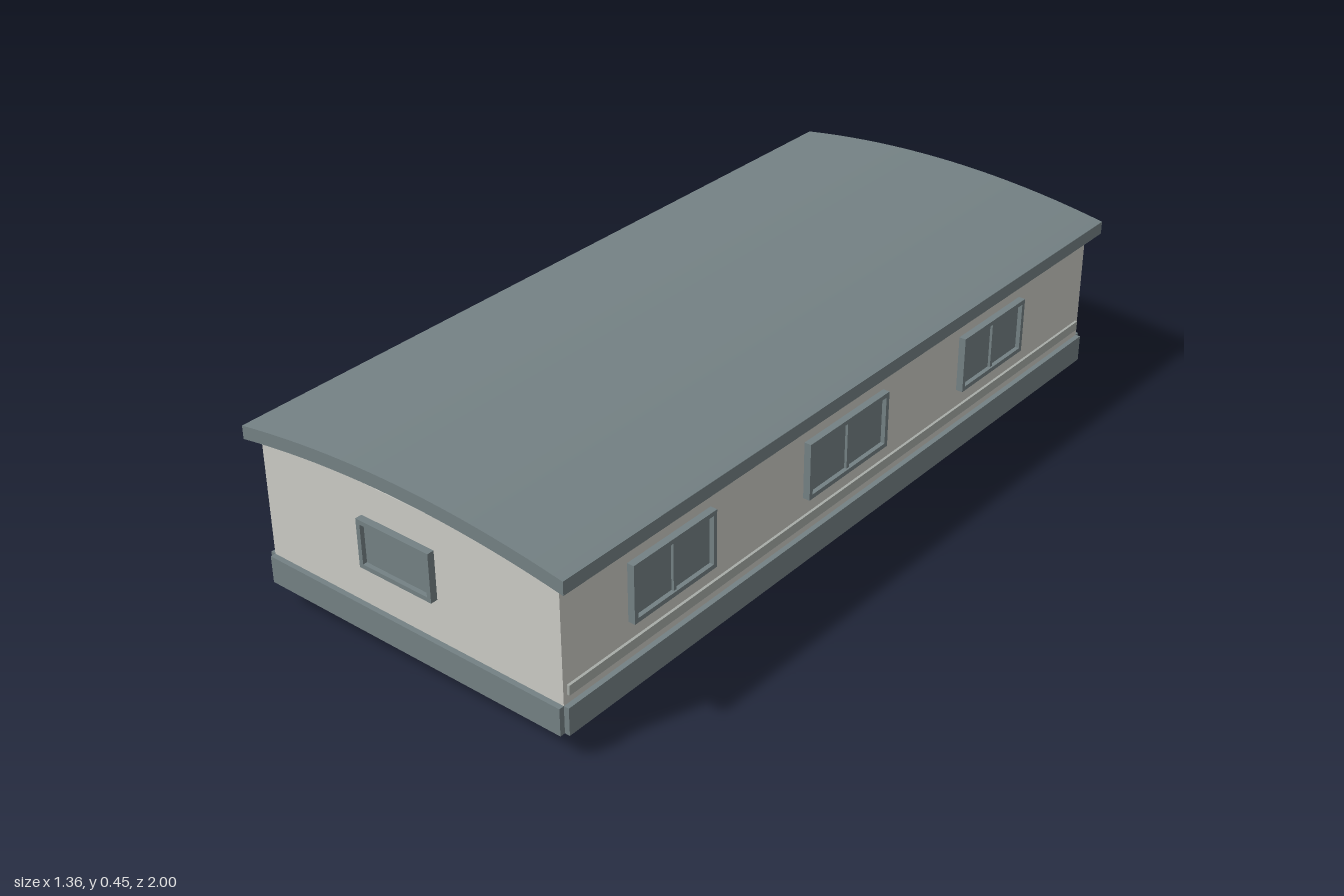
import * as THREE from 'three';
import { toCreasedNormals } from 'three/addons/utils/BufferGeometryUtils.js';

const mat = (name, color) => {
  const m = new THREE.MeshStandardMaterial({ color });
  m.name = name;
  return m;
};

export function createModel() {
  const cream = mat('cream wall', 0xcbcbc5);
  const slate = mat('slate trim', 0x748184);
  const sage = mat('sage stripe', 0xa7aca7);

  const model = new THREE.Group();
  model.name = 'mobileHome';
  const home = new THREE.Group();
  home.name = 'home';
  home.rotation.y = -0.316;
  model.add(home);

  const box = (parent, name, material, w, h, d, x, y, z) => {
    const m = new THREE.Mesh(new THREE.BoxGeometry(w, h, d), material);
    m.name = name;
    m.position.set(x, y, z);
    parent.add(m);
    return m;
  };

  const A = 0.386, B = 0.895; // half width and half length of the walls

  // Body and chassis floor
  box(home, 'walls', cream, 2 * A, 0.34, 2 * B, 0, 0.23, 0);
  box(home, 'chassisFloor', slate, 0.76, 0.02, 1.76, 0, 0.055, 0);

  // Skirt boards, leaving the corners open
  for (const s of [-1, 1]) {
    box(home, 'sideSkirt', slate, 0.012, 0.062, 2 * B, s * (A + 0.006), 0.09, 0);
    box(home, 'endSkirt', slate, 2 * A, 0.062, 0.012, 0, 0.09, s * (B + 0.006));
  }

  // Side stripes, the right-hand one broken by the door
  const stripe = (x, z0, z1) =>
    box(home, 'stripe', sage, 0.006, 0.022, z1 - z0, x, 0.152, (z0 + z1) / 2);
  stripe(A + 0.003, -0.885, 0.885);
  stripe(-A - 0.003, -0.885, -0.79);
  stripe(-A - 0.003, -0.6, 0.885);

  // Arched roof shell with open gables
  const R = 0.415, arch = new THREE.Shape();
  const rise = (x) => 0.035 * (1 - (x / R) ** 2);
  const N = 20;
  arch.moveTo(-R, 0.386);
  for (let i = 1; i <= N; i++) {
    const x = -R + (2 * R * i) / N;
    arch.lineTo(x, 0.386 + rise(x));
  }
  for (let i = N; i >= 0; i--) {
    const x = -R + (2 * R * i) / N;
    arch.lineTo(x, 0.416 + rise(x));
  }
  const roofGeo = new THREE.ExtrudeGeometry(arch, { depth: 1.83, bevelEnabled: false });
  roofGeo.translate(0, 0, -0.915);
  const roof = new THREE.Mesh(toCreasedNormals(roofGeo, 0.5), slate);
  roof.name = 'roof';
  home.add(roof);

  // Frame of four bars in the local xy plane, facing +z
  const frame = (parent, name, w, h, bar, depth) => {
    for (const s of [-1, 1]) {
      box(parent, name, slate, bar, h, depth, s * (w - bar) / 2, 0, depth / 2);
      box(parent, name, slate, w - 2 * bar, bar, depth, 0, s * (h - bar) / 2, depth / 2);
    }
  };

  // Window: frame, glass and an optional centre bar
  const addWindow = (name, w, h, split, x, y, z, turn) => {
    const g = new THREE.Group();
    g.name = name;
    frame(g, 'windowFrame', w, h, 0.01, 0.016);
    box(g, 'glass', slate, w - 0.02, h - 0.02, 0.006, 0, 0, 0.003);
    if (split) box(g, 'centreBar', slate, 0.008, h - 0.02, 0.012, 0, 0, 0.006);
    g.position.set(x, y, z);
    g.rotation.y = turn;
    home.add(g);
  };
  for (const [z, w] of [[0.595, 0.24], [0.045, 0.27], [-0.495, 0.24]])
    addWindow('leftWindow', w, 0.13, true, A, 0.27, z, Math.PI / 2);
  for (const [z, w] of [[-0.275, 0.24], [0.2, 0.275], [0.64, 0.24]])
    addWindow('rightWindow', w, 0.13, true, -A, 0.27, z, -Math.PI / 2);
  addWindow('frontWindow', 0.19, 0.11, false, -0.02, 0.27, B, 0);
  addWindow('backWindow', 0.19, 0.11, false, -0.005, 0.27, -B, Math.PI);

  // Door with frame, small window, handle and step
  const door = new THREE.Group();
  door.name = 'door';
  door.position.set(-A, 0.25, -0.695);
  door.rotation.y = -Math.PI / 2;
  home.add(door);
  frame(door, 'doorFrame', 0.185, 0.27, 0.01, 0.016);
  box(door, 'doorPanel', slate, 0.165, 0.25, 0.008, 0, 0, 0.004);
  const light = new THREE.Group();
  light.name = 'doorWindow';
  light.position.set(0.015, 0.055, 0.008);
  frame(light, 'doorWindowFrame', 0.1, 0.085, 0.008, 0.008);
  door.add(light);
  box(door, 'doorHandle', slate, 0.012, 0.028, 0.01, 0.068, -0.04, 0.013);
  box(door, 'doorStep', slate, 0.2, 0.018, 0.039, 0, -0.136, 0.0195);

  // One wheel on each side
  for (const s of [-1, 1]) {
    const wheel = new THREE.Mesh(
      toCreasedNormals(new THREE.CylinderGeometry(0.06, 0.06, 0.036, 20), 0.6), slate);
    wheel.name = 'wheel';
    wheel.rotation.z = Math.PI / 2;
    wheel.position.set(s * 0.33, 0.06, 0);
    home.add(wheel);
  }
  return model;
}
